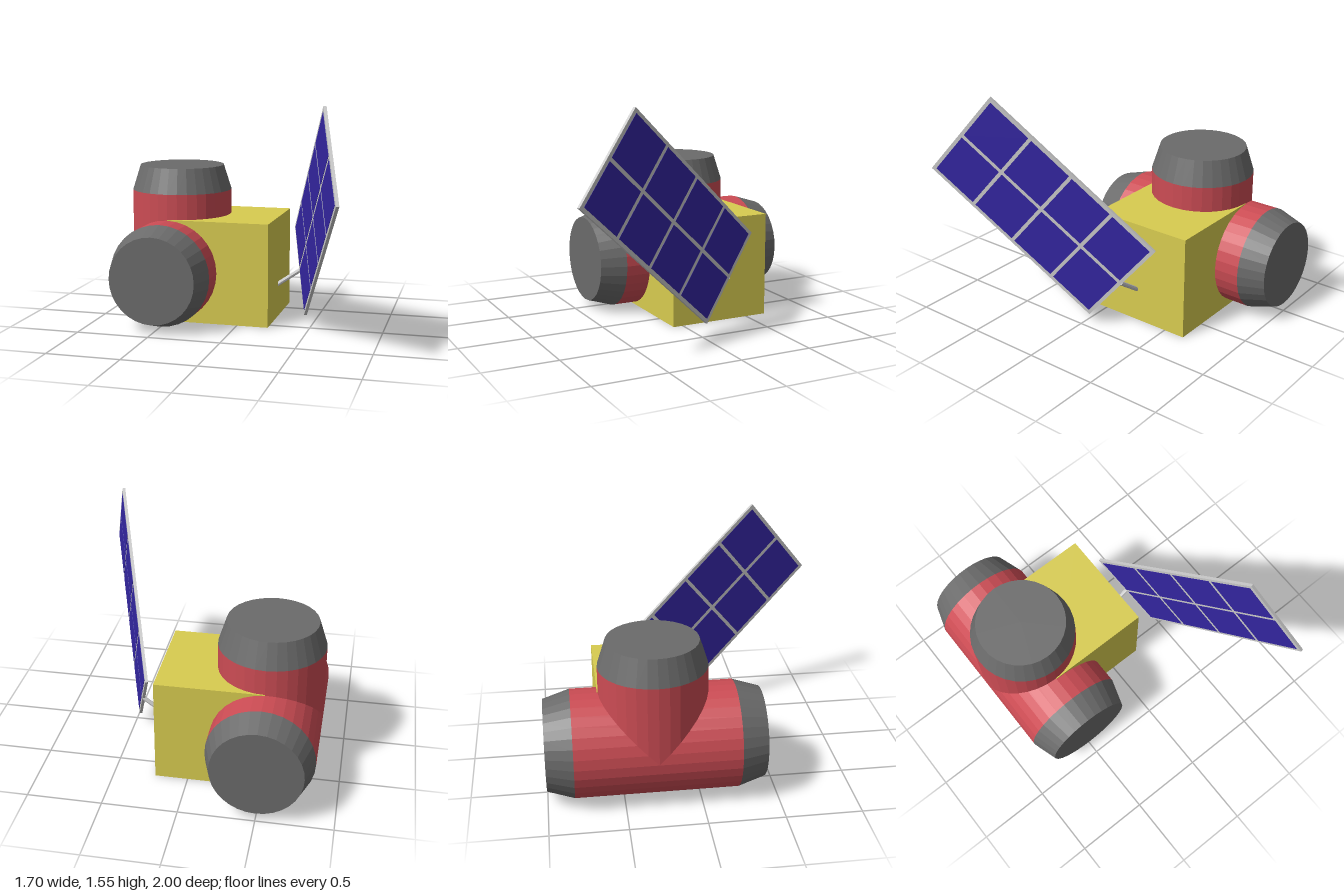
import * as THREE from 'three';

const material = (color) => new THREE.MeshStandardMaterial({ color, flatShading: true });

function part(parent, name, geometry, mat, x = 0, y = 0, z = 0) {
  const mesh = new THREE.Mesh(geometry, mat);
  mesh.name = name;
  mesh.position.set(x, y, z);
  parent.add(mesh);
  return mesh;
}

export function createModel() {
  const model = new THREE.Group();
  model.name = 'spaceStation';
  const yellow = material(0xd8cc50);
  const red = material(0xcc4c54);
  const dark = material(0x6b6b6b);
  const grey = material(0xcccccc);
  const blue = material(0x3426a2);

  const R = 0.355, R_END = 0.3, BODY = 0.535, CAP = 0.175, SIDES = 32;

  // Cube-shaped hub
  part(model, 'hub', new THREE.BoxGeometry(0.72, 0.72, 0.72), yellow, -0.14, 0.36, -0.29);

  // Tapered end cap along a module's local y axis
  const addCap = (parent, end) => {
    const cap = part(parent, 'endCap', new THREE.CylinderGeometry(R_END, R, CAP, SIDES), dark, 0, end * (BODY + CAP / 2), 0);
    if (end < 0) cap.rotation.x = Math.PI;
  };

  // Long horizontal module, capped at both ends
  const longModule = new THREE.Group();
  longModule.name = 'longModule';
  longModule.position.set(-0.5, 0.36, -0.29);
  longModule.rotation.x = Math.PI / 2;
  part(longModule, 'longBody', new THREE.CylinderGeometry(R, R, BODY * 2, SIDES), red);
  addCap(longModule, 1);
  addCap(longModule, -1);
  model.add(longModule);

  // Upright module rising from the middle of the long one
  const uprightModule = new THREE.Group();
  uprightModule.name = 'uprightModule';
  uprightModule.position.copy(longModule.position);
  part(uprightModule, 'uprightBody', new THREE.CylinderGeometry(R, R, BODY, SIDES), red, 0, BODY / 2, 0);
  addCap(uprightModule, 1);
  model.add(uprightModule);

  // Tilted solar panel: frame with a 4 x 2 grid of cells on both faces
  const panel = new THREE.Group();
  panel.name = 'solarPanel';
  panel.position.set(0.572, 0.815, 0.26);
  panel.rotation.set(0, THREE.MathUtils.degToRad(-70), THREE.MathUtils.degToRad(40));
  part(panel, 'panelFrame', new THREE.BoxGeometry(1.45, 0.71, 0.02), grey);
  const cell = new THREE.BoxGeometry(0.331, 0.318, 0.024);
  for (let i = 0; i < 4; i++) {
    for (let j = 0; j < 2; j++) {
      part(panel, 'solarCell', cell, blue, (i - 1.5) * 0.356, (j - 0.5) * 0.343, 0);
    }
  }
  model.add(panel);

  // Strut from the hub to the lower short edge of the panel
  const start = new THREE.Vector3(0.19, 0.215, -0.26);
  const end = new THREE.Vector3(0.385, 0.35, -0.255);
  const dir = end.clone().sub(start);
  const strut = part(model, 'panelStrut', new THREE.CylinderGeometry(0.015, 0.015, dir.length(), 8), grey);
  strut.position.copy(start).add(end).multiplyScalar(0.5);
  strut.quaternion.setFromUnitVectors(new THREE.Vector3(0, 1, 0), dir.normalize());

  return model;
}
